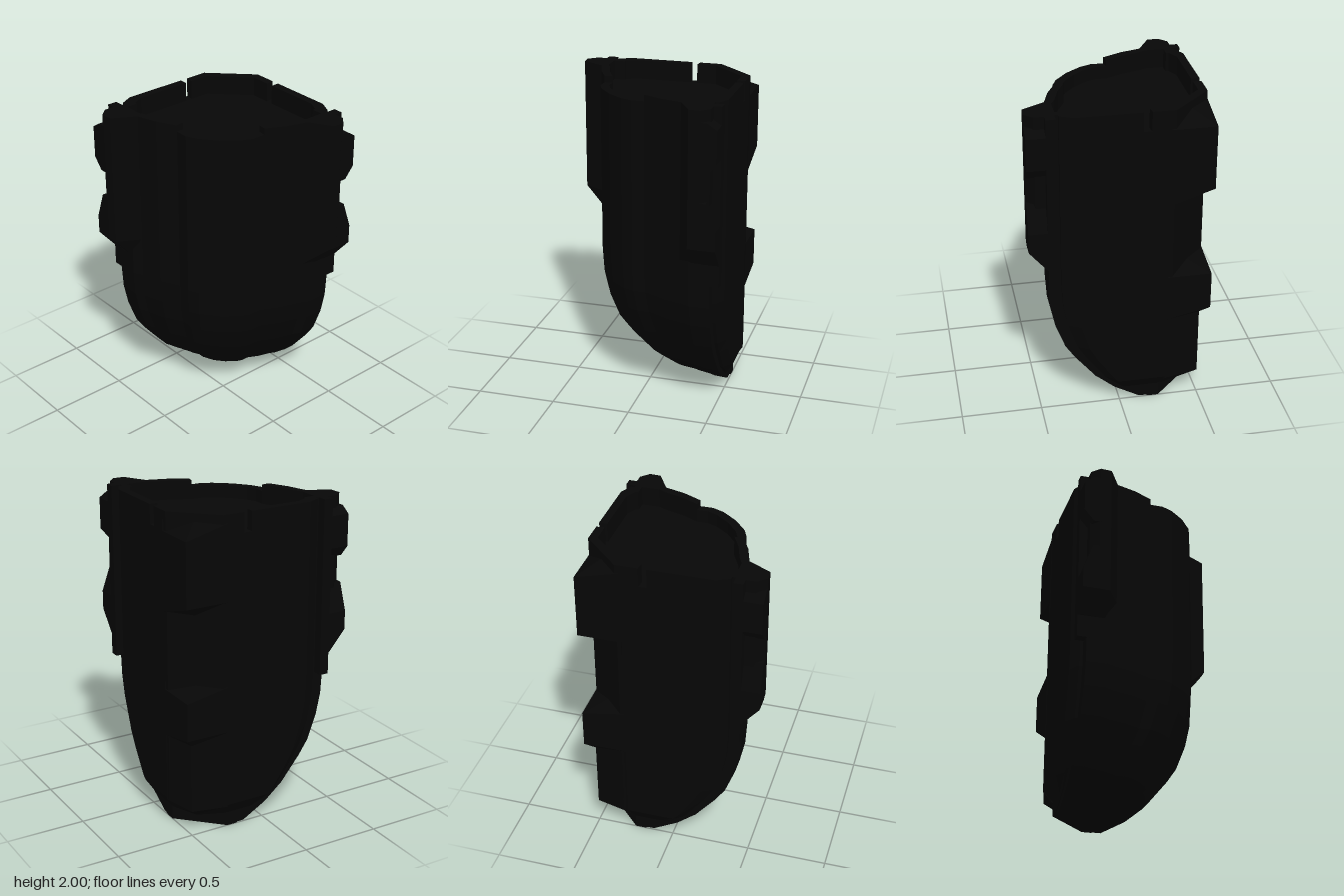
import * as THREE from 'three';

const black = new THREE.MeshStandardMaterial({ color: 0x070707 });
black.name = 'matte black';

// Solid from stacked outlines: sections = [[y, [[x, z], ...]], ...] from bottom to top
function loft(name, sections) {
  const pos = [];
  const put = (y, p) => pos.push(p[0], y, p[1]);
  const n = sections[0][1].length;
  for (let k = 0; k < sections.length - 1; k++) {
    const [y0, a] = sections[k], [y1, b] = sections[k + 1];
    for (let i = 0; i < n; i++) {
      const j = (i + 1) % n;
      put(y0, a[i]); put(y1, b[i]); put(y0, a[j]);
      put(y0, a[j]); put(y1, b[i]); put(y1, b[j]);
    }
  }
  for (const [end, up] of [[sections[0], false], [sections[sections.length - 1], true]]) {
    const [y, pts] = end;
    const tris = THREE.ShapeUtils.triangulateShape(pts.map(p => new THREE.Vector2(p[0], p[1])), []);
    for (const [a, b, c] of tris) {
      const [A, B, C] = [pts[a], pts[b], pts[c]];
      const area = (B[0] - A[0]) * (C[1] - A[1]) - (B[1] - A[1]) * (C[0] - A[0]);
      const order = (area < 0) === up ? [A, B, C] : [A, C, B];
      order.forEach(p => put(y, p));
    }
  }
  const geo = new THREE.BufferGeometry();
  geo.setAttribute('position', new THREE.Float32BufferAttribute(pos, 3));
  geo.computeVertexNormals();
  const mesh = new THREE.Mesh(geo, black);
  mesh.name = name;
  return mesh;
}

// Mirror across the diagonal plane x = z
const mirror = pts => pts.map(([x, z]) => [z, x]).reverse();
function pair(group, name, sections) {
  group.add(loft(name + 'Right', sections));
  group.add(loft(name + 'Left', sections.map(([y, p]) => [y, mirror(p)])));
}

// Half outline of the shell, from the chamfered back corner to the rounded front
const half = [[-0.31, -0.55], [0.28, -0.55], [0.36, -0.51], [0.36, -0.49], [0.44, -0.49], [0.44, -0.36],
  [0.41, -0.30], [0.37, -0.17], [0.31, -0.05], [0.31, 0.03], [0.28, 0.10], [0.20, 0.20]];
const outline = pts => [...pts, ...mirror(pts.slice(0, -1))];

// Outline at one height: the front shrinks toward the back corner, the edge groove keeps its width
function section(reach, back) {
  const s = (reach + 0.55) / 0.99, edge = Math.max(s, 0.7);
  return outline(half.map(([x, z], i) => {
    if (i === 0) return [back === -0.5 ? -0.25 : -0.31, back];
    if (i < 5) return [reach - (0.44 - x) * edge, Math.max(back, z)];
    return [-0.55 + (x + 0.55) * s, Math.max(back, -0.55 + (z + 0.55) * s)];
  }));
}

export function createModel() {
  const group = new THREE.Group();
  group.name = 'cornerShell';

  // Body: [y, reach, back plane]
  const profile = [[0, -0.13, -0.5], [0.09, 0.03, -0.5], [0.17, 0.125, -0.55], [0.19, 0.15, -0.55],
    [0.35, 0.28, -0.55], [0.44, 0.34, -0.55], [0.6, 0.4, -0.55], [0.74, 0.43, -0.55],
    [0.9, 0.44, -0.55], [1.88, 0.44, -0.55]];
  group.add(loft('body', profile.map(([y, reach, back]) => [y, section(reach, back)])));

  // Raised rim around the recessed top, with slots in the back walls
  const inset = ([x, z]) => [-0.12 + (x + 0.12) * 0.88, -0.12 + (z + 0.12) * 0.88];
  const rim = (p, q, top) => [1.88, top].map(y => [y, [p, q, inset(q), inset(p)]]);
  pair(group, 'rimCorner', rim(half[0], [-0.17, -0.55], 2));
  pair(group, 'rimBack', rim([-0.12, -0.55], half[1], 2));
  for (let i = 1; i < half.length - 1; i++) {
    pair(group, 'rimSide' + i, rim(half[i], half[i + 1], i >= 8 ? 1.96 : 2));
  }
  group.add(loft('rimChamfer', rim([-0.55, -0.31], [-0.31, -0.55], 2)));

  // Side flanges with a sloped lower end
  const flange = [[0.38, -0.5], [0.5, -0.5], [0.555, -0.45], [0.55, -0.38], [0.41, -0.30], [0.38, -0.30]];
  const flangeEnd = [[0.38, -0.5], [0.42, -0.5], [0.44, -0.45], [0.439, -0.38], [0.41, -0.30], [0.38, -0.30]];
  pair(group, 'flange', [[1.03, flangeEnd], [1.16, flange], [2, flange]]);

  // Strip along the back of each flange, reaching below it
  const strip = [[0.38, -0.55], [0.44, -0.55], [0.44, -0.46], [0.38, -0.46]];
  pair(group, 'flangeStrip', [[0.89, strip], [2, strip]]);

  // Knobs on the back of each flange
  const knob = [[0.38, -0.55], [0.555, -0.55], [0.555, -0.44], [0.38, -0.44]];
  const sunk = knob.map(([x, z]) => [x, Math.max(z, -0.49)]);
  const knobEnd = knob.map(([x, z]) => [Math.min(x, 0.445), z]);
  pair(group, 'upperKnob', [[1.62, sunk], [1.69, knob], [1.89, knob], [1.93, sunk]]);
  pair(group, 'lowerKnob', [[1.03, knobEnd], [1.16, knob], [1.28, knob], [1.45, sunk]]);

  // Blocks filling the chamfered back corner; c is the corner position
  const block = c => [[c, c], [-0.28, Math.min(c, -0.554)], [-0.4, -0.4], [Math.min(c, -0.554), -0.28]];
  group.add(loft('upperCornerBlock',
    [[1.39, block(-0.43)], [1.48, block(-0.555)], [1.88, block(-0.555)], [1.95, block(-0.43)]]));
  const foot = [[-0.43, -0.43], [-0.26, -0.5], [-0.24, -0.24], [-0.5, -0.26]];
  group.add(loft('lowerCornerBlock', [[0.09, foot], [0.16, block(-0.5)], [0.6, block(-0.5)],
    [0.66, block(-0.555)], [0.9, block(-0.555)], [0.95, block(-0.43)]]));

  return group;
}
